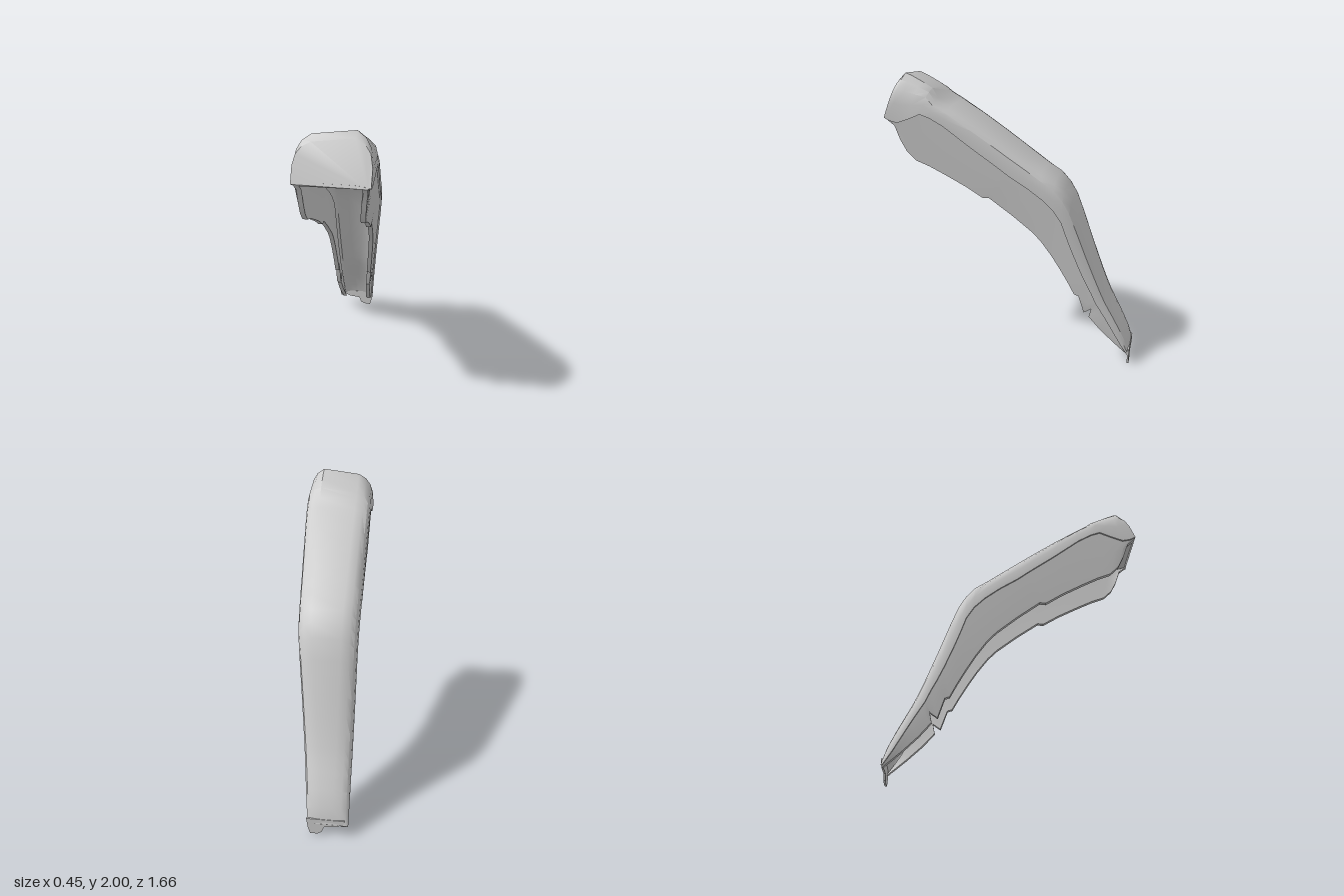
import * as THREE from 'three';
import { toCreasedNormals } from 'three/addons/utils/BufferGeometryUtils.js';

// Side profile lines as [z, y], front to back: top ridge, crease, lower wall edge
const TOP = [[.735, 1.965], [.70, 2], [.66, 1.985], [.59, 1.95], [.52, 1.91], [.485, 1.85], [.40, 1.80],
  [.25, 1.71], [.10, 1.61], [.02, 1.555], [-.10, 1.47], [-.20, 1.40], [-.29, 1.345], [-.35, 1.28],
  [-.40, 1.20], [-.45, 1.07], [-.52, .87], [-.56, .76], [-.60, .65], [-.64, .55], [-.67, .48],
  [-.71, .40], [-.76, .30], [-.805, .20], [-.825, .12], [-.83, .085]];
const CREASE = [[.83, 1.72], [.79, 1.70], [.74, 1.69], [.66, 1.72], [.58, 1.755], [.52, 1.735], [.43, 1.685],
  [.25, 1.55], [.08, 1.43], [0, 1.37], [-.12, 1.295], [-.22, 1.22], [-.29, 1.15], [-.34, 1.07],
  [-.37, .98], [-.41, .87], [-.47, .72], [-.51, .63], [-.55, .55], [-.58, .48], [-.61, .43],
  [-.66, .345], [-.71, .255], [-.76, .165], [-.80, .10], [-.82, .07]];
const EDGE = [[.825, 1.71], [.77, 1.665], [.74, 1.57], [.70, 1.49], [.64, 1.43], [.55, 1.395], [.44, 1.34],
  [.30, 1.265], [.19, 1.195], [.15, 1.20], [0, 1.09], [-.14, .975], [-.20, .91], [-.27, .81],
  [-.33, .71], [-.385, .61], [-.43, .52], [-.46, .51], [-.50, .38], [-.55, .415], [-.535, .35],
  [-.61, .26], [-.70, .17], [-.755, .12], [-.80, .08], [-.815, .065]];

// Half section, bottom to top: [position, inset]; -1 edge, 0 crease, 1 top
const SECTION = [[-1, .02], [-.5, .014], [0, .012], [0, 0], [.4, .004], [.7, .018], [.88, .05], [1, .1]];
const LEFT = -.225;
const rightAt = y => Math.min(.225, .033 + y * .108); // tapering side

function sectionPoint(i, side, [f, inset], inner) {
  const roof = i < 4 ? .05 : i === 4 ? .4 : .8;       // underside is closed below the cap
  const t = inner && f > 0 ? f * roof : f;
  const a = CREASE[i], b = t < 0 ? EDGE[i] : TOP[i], k = Math.abs(t);
  const z = a[0] + (b[0] - a[0]) * k;
  let y = a[1] + (b[1] - a[1]) * k;
  const d = inset + (inner ? .03 : 0);
  const x = side > 0 ? rightAt(y) - d : LEFT + d;
  if (i < 5 && side < 0 && t > .5) y -= .03 * t;      // cap top leans to one side
  return [x, y, z];
}

// Closed ring: outer skin over the top, then back along the inside
function ring(i) {
  const up = SECTION, down = [...SECTION].reverse();
  return [
    ...up.map(s => sectionPoint(i, 1, s, false)), ...down.map(s => sectionPoint(i, -1, s, false)),
    ...up.map(s => sectionPoint(i, -1, s, true)), ...down.map(s => sectionPoint(i, 1, s, true)),
  ];
}

function shellGeometry() {
  const pos = [], index = [], n = SECTION.length * 4, half = n / 2, last = (TOP.length - 1) * n;
  TOP.forEach((_, i) => ring(i).forEach(p => pos.push(...p)));
  for (let i = 0; i < TOP.length - 1; i++) {
    for (let j = 0; j < n; j++) {
      const a = i * n + j, b = i * n + (j + 1) % n;
      index.push(a, a + n, b + n, a, b + n, b);
    }
  }
  // Front face of the cap
  for (let j = 1; j < half - 1; j++) index.push(0, j, j + 1);
  // Thin rim closing the lower end
  for (let j = 0; j < half - 1; j++) {
    const a = last + j, b = a + 1, c = last + n - 2 - j, d = c + 1;
    index.push(a, c, b, a, d, c);
  }
  const g = new THREE.BufferGeometry();
  g.setAttribute('position', new THREE.Float32BufferAttribute(pos, 3));
  g.setIndex(index);
  return toCreasedNormals(g, .6);
}

export function createModel() {
  const group = new THREE.Group();
  group.name = 'curvedArmShell';
  const material = new THREE.MeshStandardMaterial({ color: 0xcccccc, side: THREE.DoubleSide });

  const shell = new THREE.Mesh(shellGeometry(), material);
  shell.name = 'channelShell';
  group.add(shell);

  // Ragged tip at the lower end
  const outline = [[-.2, .1], [-.18, .085], [-.15, .07], [-.07, .06], [-.055, .02], [-.03, .005],
    [.02, 0], [.035, .05], [.045, .12], [-.2, .12]];
  const shape = new THREE.Shape(outline.map(([x, y]) => new THREE.Vector2(x, y)));
  const tip = new THREE.Mesh(new THREE.ExtrudeGeometry(shape, { depth: .012, bevelEnabled: false }), material);
  tip.name = 'brokenTip';
  tip.position.z = -.828;
  group.add(tip);

  return group;
}
